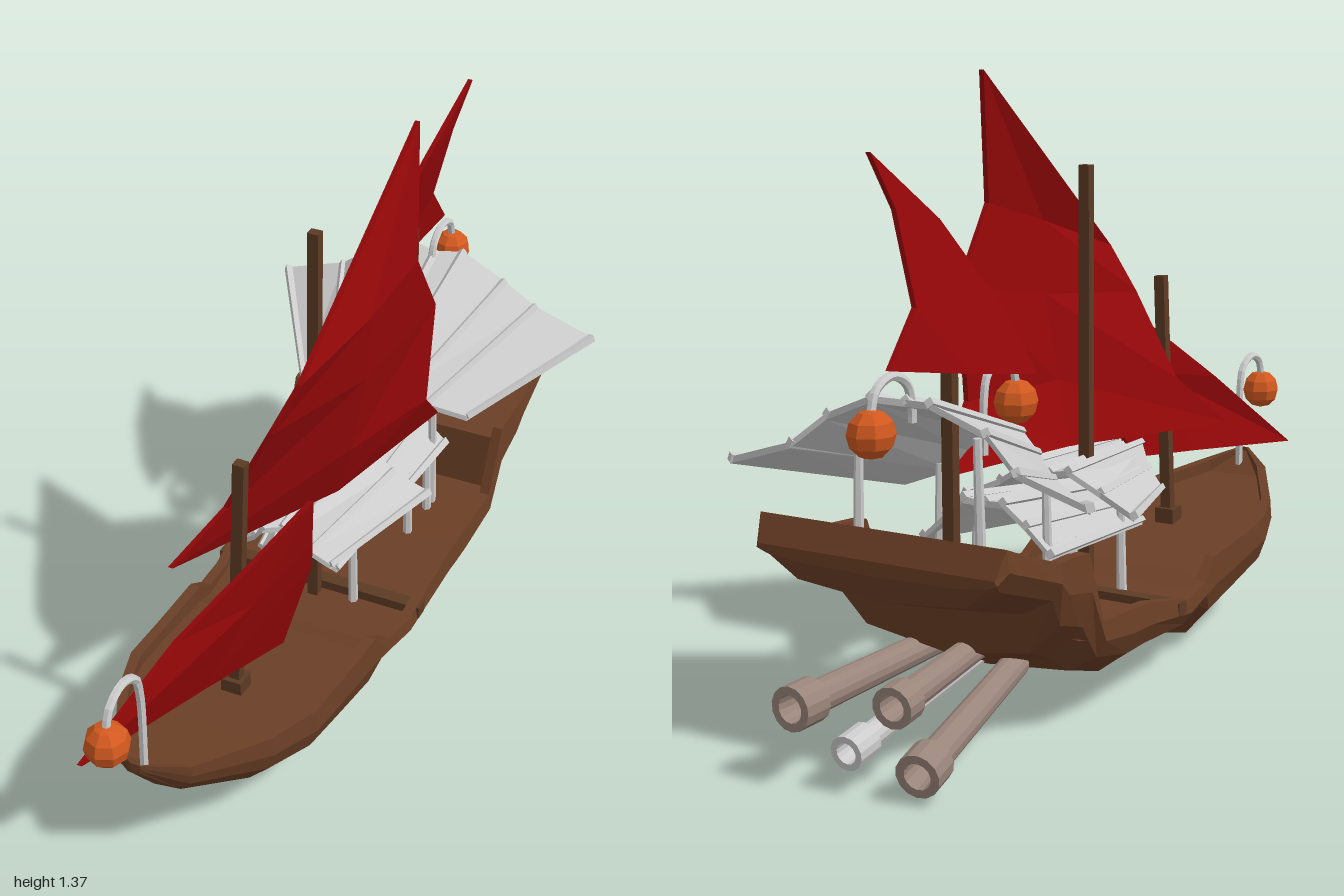
import * as THREE from 'three';

const mat = (color, extra = {}) => new THREE.MeshStandardMaterial({ color, flatShading: true, ...extra });
const V = (x, y, z) => new THREE.Vector3(x, y, z);

export function createModel() {
  const model = new THREE.Group();
  const wood = mat(0x6b3f26), darkWood = mat(0x5c3a24), grey = mat(0xcccccc);
  const panel = mat(0xcccccc, { side: THREE.DoubleSide });
  const cloth = mat(0x960709, { side: THREE.DoubleSide });
  const glow = mat(0xd2591f), clay = mat(0x9a857b);

  const add = (name, geometry, material, parent = model) => {
    const mesh = new THREE.Mesh(geometry, material);
    mesh.name = name;
    parent.add(mesh);
    return mesh;
  };

  const surface = (points, index) => {
    const g = new THREE.BufferGeometry().setFromPoints(points);
    g.setIndex(index);
    g.computeVertexNormals();
    return g;
  };

  // Joins closed rings of points, each counter-clockwise seen from the bow, running bow to stern
  const loft = (rings) => {
    const n = rings[0].length, last = (rings.length - 1) * n, index = [];
    rings.slice(1).forEach((_, i) => {
      for (let j = 0; j < n; j++) {
        const a = i * n + j, b = i * n + (j + 1) % n;
        index.push(a, a + n, b, b, a + n, b + n);
      }
    });
    // end caps as strips between the two halves of the ring
    for (let a = 0; a < n / 2 - 1; a++) {
      const b = a + 1, c = n - 2 - a, d = n - 1 - a;
      index.push(a, b, c, a, c, d, last + a, last + c, last + b, last + a, last + d, last + c);
    }
    return surface(rings.flat(), index);
  };

  // Straight bar between two points
  const rod = (name, a, b, r, material, sides = 6, r2 = r, parent = model) => {
    const mesh = add(name, new THREE.CylinderGeometry(r2, r, a.distanceTo(b), sides), material, parent);
    mesh.position.lerpVectors(a, b, 0.5);
    mesh.quaternion.setFromUnitVectors(V(0, 1, 0), b.clone().sub(a).normalize());
    return mesh;
  };

  // Hull stations: z, rim height, keel height, half width, deck height
  const stations = [
    [0.855, 0.335, 0.31, 0.012, 0.325], [0.785, 0.305, 0.22, 0.095, 0.275],
    [0.6, 0.27, 0.11, 0.195, 0.24], [0.47, 0.258, 0.075, 0.238, 0.228],
    [0.33, 0.245, 0.045, 0.243, 0.213], [0.165, 0.235, 0.006, 0.248, 0.19],
    [0.1, 0.192, 0.083, 0.255, 0.165], [0.0, 0.178, 0.07, 0.265, 0.16],
    [-0.22, 0.232, 0.066, 0.278, 0.185], [-0.31, 0.243, 0.066, 0.284, 0.2],
    [-0.455, 0.257, 0.117, 0.292, 0.215], [-0.52, 0.42, 0.145, 0.295, 0.23],
    [-0.535, 0.423, 0.152, 0.295, 0.375], [-0.615, 0.43, 0.19, 0.297, 0.375],
    [-0.65, 0.432, 0.295, 0.3, 0.375], [-0.8, 0.49, 0.345, 0.3, 0.4],
    [-0.81, 0.493, 0.348, 0.3, 0.49], [-0.845, 0.508, 0.36, 0.298, 0.508],
    [-0.87, 0.45, 0.42, 0.285, 0.45],
  ];
  add('hull', loft(stations.map(([z, rim, keel, w, deck]) => {
    const h = rim - keel, inner = Math.max(w * 0.98 - 0.025, w * 0.4);
    const half = [[0, keel], [0.68 * w, keel + 0.13 * h], [0.92 * w, keel + 0.42 * h], [w, keel + 0.7 * h],
      [0.98 * w, rim], [inner, rim], [inner, deck], [0, deck]];
    const mirrored = half.slice(1, -1).reverse().map(([x, y]) => [-x, y]);
    return [...half, ...mirrored].map(([x, y]) => V(x, y, z));
  })), wood);

  // Cross beam at the deck step
  add('deckBeam', new THREE.BoxGeometry(0.54, 0.03, 0.035), darkWood).position.set(0, 0.172, -0.055);

  // Square masts, the front one leaning slightly
  for (const [name, x, y0, y1, z, lean] of [['foreMast', 0.032, 0.2, 0.85, 0.44, -0.04],
    ['mainMast', 0, 0.15, 1.16, -0.02, 0], ['rearMast', 0, 0.36, 0.89, -0.59, 0]]) {
    const mast = add(name, new THREE.BoxGeometry(0.027, y1 - y0, 0.025), darkWood);
    mast.position.set(x, (y0 + y1) / 2, z);
    mast.rotation.z = lean;
  }
  add('foreMastFoot', new THREE.BoxGeometry(0.05, 0.04, 0.05), darkWood).position.set(0.02, 0.24, 0.44);

  // Sails: rows of front, middle and back points from foot to tip, with a little thickness
  const sail = (name, rows, tip) => {
    const points = [...rows, [tip, tip, tip]].flat();
    const n = points.length, index = [];
    const quad = (a, b, c, d) => index.push(a, b, c, a, c, d);
    for (let i = 0; i < rows.length; i++) {
      const a = i * 3;
      for (let j = a; j < a + 2; j++) {
        quad(j, j + 1, j + 4, j + 3);
        quad(n + j, n + j + 3, n + j + 4, n + j + 1);
      }
      quad(a, a + 3, n + a + 3, n + a);
      quad(a + 2, n + a + 2, n + a + 5, a + 5);
    }
    for (const j of [0, 1]) quad(j, n + j, n + j + 1, j + 1);
    const side = (dx) => points.map(([x, y, z]) => V(x + dx, y, z));
    add(name, surface([...side(0.006), ...side(-0.006)], index), cloth);
  };
  sail('mainSail', [
    [[-0.145, 0.5, 0.425], [0.065, 0.5, 0], [0.15, 0.5, -0.41]],
    [[-0.06, 0.62, 0.315], [0.11, 0.65, 0.03], [0.18, 0.64, -0.25]],
    [[0.04, 0.83, 0.29], [0.145, 0.85, 0.03], [0.19, 0.9, -0.26]],
    [[0.09, 0.945, 0.25], [0.16, 1.02, 0.05], [0.19, 1.075, -0.14]],
  ], [0.156, 1.375, -0.21]);
  sail('foreSail', [
    [[-0.095, 0.35, 0.92], [0.035, 0.37, 0.62], [0.125, 0.38, 0.42]],
    [[0.02, 0.555, 0.695], [0.12, 0.58, 0.55], [0.19, 0.61, 0.41]],
    [[0.12, 0.685, 0.565], [0.165, 0.69, 0.5], [0.2, 0.69, 0.43]],
  ], [0.212, 0.81, 0.45]);
  sail('rearSail', [
    [[-0.07, 0.745, -0.365], [-0.045, 0.78, -0.59], [-0.01, 0.82, -0.82]],
    [[-0.028, 0.89, -0.43], [-0.012, 0.91, -0.58], [-0.005, 0.93, -0.72]],
    [[0.03, 1.09, -0.58], [0.037, 1.1, -0.65], [0.043, 1.12, -0.715]],
  ], [0.07, 1.235, -0.76]);

  // Folded fan roofs: half profiles of the front and back edges, mirrored, with a rib on each fold
  const roof = (name, front, back, posts) => {
    const group = new THREE.Group();
    group.name = name;
    model.add(group);
    const ring = (half) => {
      const edge = [...half.slice(1).reverse().map(([x, y, z]) => [-x, y, z]), ...half];
      return [...edge.map(([x, y, z]) => V(x, y - 0.014, z)), ...edge.reverse().map((p) => V(...p))];
    };
    add(name + 'Panels', loft([ring(front), ring(back)]), panel, group);
    front.forEach((f, i) => {
      for (const s of i ? [1, -1] : [1]) {
        const a = V(f[0] * s, f[1], f[2]), b = V(back[i][0] * s, back[i][1], back[i][2]);
        rod(name + 'Rib', a, b, 0.009, grey, 4, 0.012, group);
      }
    });
    for (const [x, y0, y1, z] of posts) {
      for (const s of [1, -1]) rod(name + 'Post', V(s * x, y0, z), V(s * x * 0.95, y1, z), 0.012, grey, 6, 0.009, group);
    }
  };
  roof('sternRoof',
    [[0, 0.63, -0.38], [0.045, 0.62, -0.375], [0.09, 0.58, -0.385], [0.13, 0.53, -0.39], [0.225, 0.495, -0.43]],
    [[0, 0.75, -0.75], [0.07, 0.755, -0.77], [0.19, 0.705, -0.755], [0.27, 0.64, -0.775], [0.43, 0.59, -0.77]],
    [[0.14, 0.2, 0.54, -0.43], [0.15, 0.36, 0.68, -0.71]]);
  roof('upperDeckRoof',
    [[0, 0.48, 0.16], [0.035, 0.485, 0.19], [0.07, 0.435, 0.16], [0.115, 0.395, 0.14]],
    [[0, 0.485, -0.19], [0.06, 0.5, -0.21], [0.13, 0.455, -0.19], [0.22, 0.415, -0.2]],
    [[0.1, 0.16, 0.42, -0.03]]);
  roof('lowerDeckRoof',
    [[0, 0.405, 0.11], [0.03, 0.405, 0.11], [0.06, 0.365, 0.09], [0.1, 0.33, 0.07]],
    [[0, 0.48, -0.46], [0.05, 0.485, -0.47], [0.1, 0.44, -0.46], [0.16, 0.385, -0.46]],
    [[0.13, 0.18, 0.38, -0.3], [0.14, 0.19, 0.39, -0.4]]);

  // Lanterns on curved hooks
  for (const [z0, y0, z1, y1, peak] of [[0.82, 0.29, 0.955, 0.478, 0.58], [-0.46, 0.58, -0.33, 0.672, 0.775],
    [-0.725, 0.7, -0.865, 0.703, 0.805]]) {
    const lantern = new THREE.Group();
    lantern.name = 'lantern';
    model.add(lantern);
    const at = (k, y) => V(0, y, z0 + (z1 - z0) * k);
    const path = new THREE.CatmullRomCurve3([at(0, y0), at(0, peak - 0.08), at(0.12, peak - 0.025), at(0.5, peak),
      at(0.88, peak - 0.02), at(1, y1 + 0.04)]);
    add('lanternHook', new THREE.TubeGeometry(path, 20, 0.01, 6), grey, lantern);
    add('lanternGlobe', new THREE.SphereGeometry(0.05, 8, 6), glow, lantern).position.set(0, y1, z1);
  }

  // Hollow stern pipes with flared mouths
  const pipeProfile = [[0.03, 0], [0.034, 0.84], [0.047, 0.86], [0.047, 1], [0.029, 1], [0.026, 0.8], [0, 0.8]];
  for (const [a, b, k, material] of [
    [V(0.08, 0.18, -0.52), V(0.11, 0.17, -1), 1, clay],
    [V(-0.1, 0.15, -0.5), V(-0.155, 0.068, -0.955), 1, clay],
    [V(-0.04, 0.2, -0.52), V(-0.06, 0.17, -0.9), 0.95, clay],
    [V(0, 0.15, -0.5), V(0, 0.09, -0.97), 0.78, grey]]) {
    const length = a.distanceTo(b);
    const profile = pipeProfile.map(([r, y]) => new THREE.Vector2(r * k, y * length));
    const pipe = add('sternPipe', new THREE.LatheGeometry(profile, 14), material);
    pipe.position.copy(a);
    pipe.quaternion.setFromUnitVectors(V(0, 1, 0), b.clone().sub(a).normalize());
  }

  return model;
}
